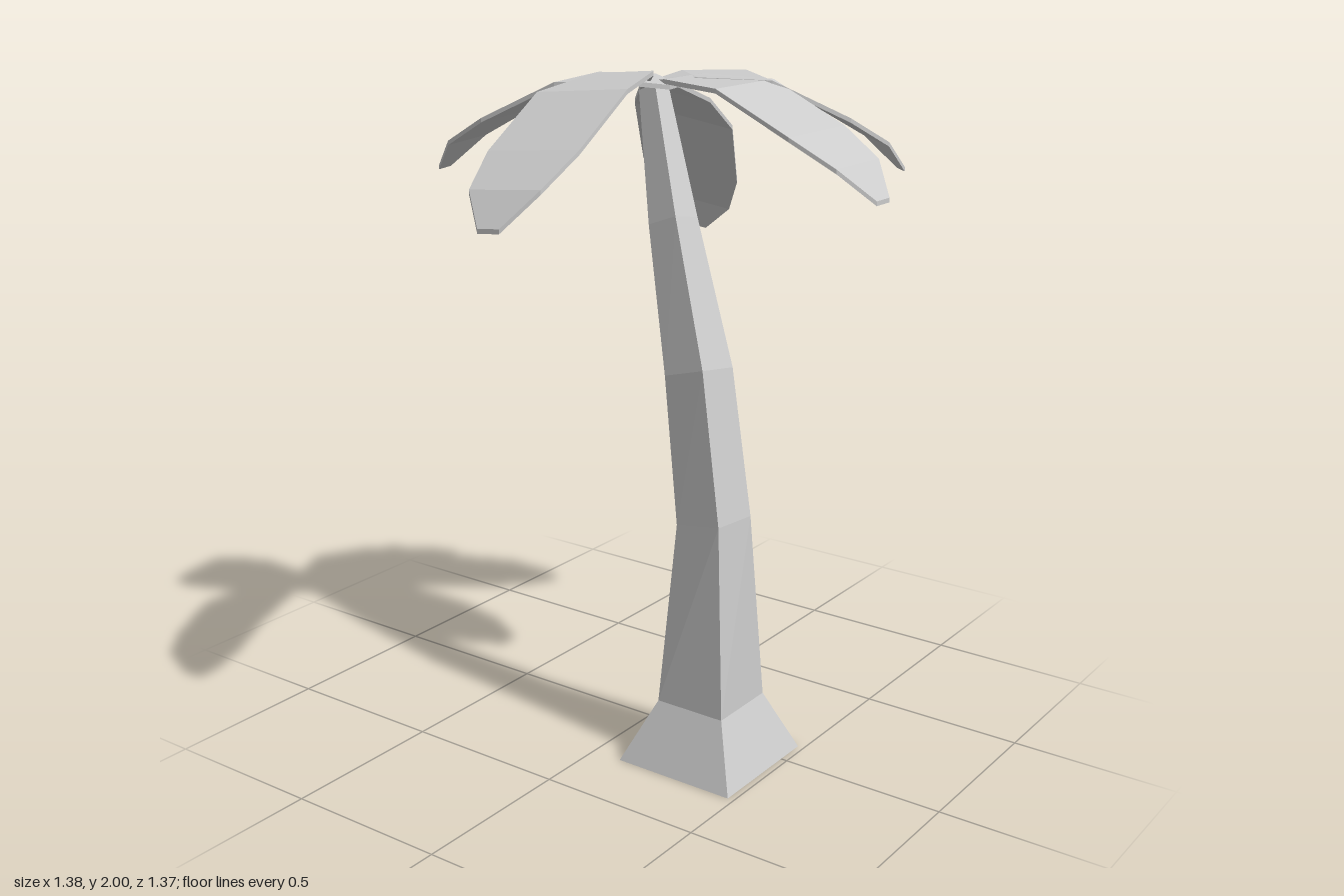
import * as THREE from 'three';

const material = new THREE.MeshStandardMaterial({ color: 0xcccccc, flatShading: true });

// Joins four-cornered rings into a closed, flat-shaded solid
function loft(rings, name) {
  const index = [];
  for (let r = 0; r < rings.length - 1; r++) {
    for (let i = 0; i < 4; i++) {
      const a = r * 4 + i, b = r * 4 + (i + 1) % 4;
      index.push(a, b, b + 4, a, b + 4, a + 4);
    }
  }
  const e = (rings.length - 1) * 4;
  index.push(0, 2, 1, 0, 3, 2, e, e + 1, e + 2, e, e + 2, e + 3);
  const indexed = new THREE.BufferGeometry();
  indexed.setAttribute('position', new THREE.Float32BufferAttribute(rings.flat(2), 3));
  indexed.setIndex(index);
  const geometry = indexed.toNonIndexed();
  geometry.computeVertexNormals();
  const mesh = new THREE.Mesh(geometry, material);
  mesh.name = name;
  return mesh;
}

// Square trunk section, tilted across the lean and slightly twisted
function trunkRing([x, y, z, half, tiltX, tiltZ, twist]) {
  const c = Math.cos(twist), s = Math.sin(twist);
  return [[-1, 1], [1, 1], [1, -1], [-1, -1]].map(([u, v]) => {
    const dx = half * (u * c - v * s), dz = half * (u * s + v * c);
    return [x + dx, y + dx * tiltX + dz * tiltZ, z + dz];
  });
}

// Frond half-widths from hub to tip
const halfWidths = [0.025, 0.10, 0.148, 0.148, 0.115, 0.035];
const thickness = 0.013;
const reach = [-0.30, -0.205, 0, 0.235, 0.365, 0.445];
const droop = [1.95, 1.965, 1.957, 1.845, 1.768, 1.68];

// Thin bent frond: anchor is the centre of its third section
function frond({ name, anchor, dir, along = reach, heights = droop, roll = 0 }) {
  const d = new THREE.Vector2(...dir).normalize();
  const rings = along.map((s, k) => {
    const x = anchor[0] + d.x * s, z = anchor[1] + d.y * s, w = halfWidths[k];
    const corner = (side, drop) => [
      x + side * w * d.y,
      heights[k] + side * w * roll - drop,
      z - side * w * d.x,
    ];
    return [corner(1, 0), corner(-1, 0), corner(-1, thickness), corner(1, thickness)];
  });
  return loft(rings, name);
}

export function createModel() {
  const group = new THREE.Group();
  group.name = 'palmTree';

  // Trunk with flared foot: x, y, z, half width, tilt in x, tilt in z, twist
  group.add(loft([
    [-0.095, 0, 0.288, 0.192, 0, 0, 0],
    [-0.095, 0.187, 0.29, 0.111, 0, 0, 0],
    [-0.098, 0.745, 0.295, 0.075, -0.05, 0.17, 0.07],
    [-0.072, 1.17, 0.221, 0.068, -0.15, 0.27, 0.08],
    [-0.005, 1.575, 0.083, 0.049, -0.2, 0.35, 0.08],
    [0.085, 1.93, -0.05, 0.03, -0.2, 0.35, 0.08],
  ].map(trunkRing), 'trunk'));

  // Crown of fronds
  const fronds = new THREE.Group();
  fronds.name = 'crown';
  [
    { name: 'frontFrond', anchor: [0.124, 0.235], dir: [0, 1] },
    { name: 'frontLeftFrond', anchor: [0.335, 0.145], dir: [0.737, 0.676] },
    { name: 'backFrond', anchor: [-0.015, -0.25], dir: [-0.215, -0.977] },
    {
      name: 'rightFrond', anchor: [-0.268, -0.035], dir: [-1, 0.06], roll: 0.09,
      along: [-0.30, -0.205, 0, 0.225, 0.352, 0.424],
      heights: [1.96, 1.988, 1.957, 1.825, 1.74, 1.65],
    },
    {
      name: 'backLeftFrond', anchor: [0.335, -0.12], dir: [0.885, -0.465], roll: 0.25,
      along: [-0.265, -0.18, 0, 0.175, 0.27, 0.32],
      heights: [1.95, 1.92, 1.83, 1.64, 1.53, 1.437],
    },
  ].forEach((f) => fronds.add(frond(f)));
  group.add(fronds);
  return group;
}
